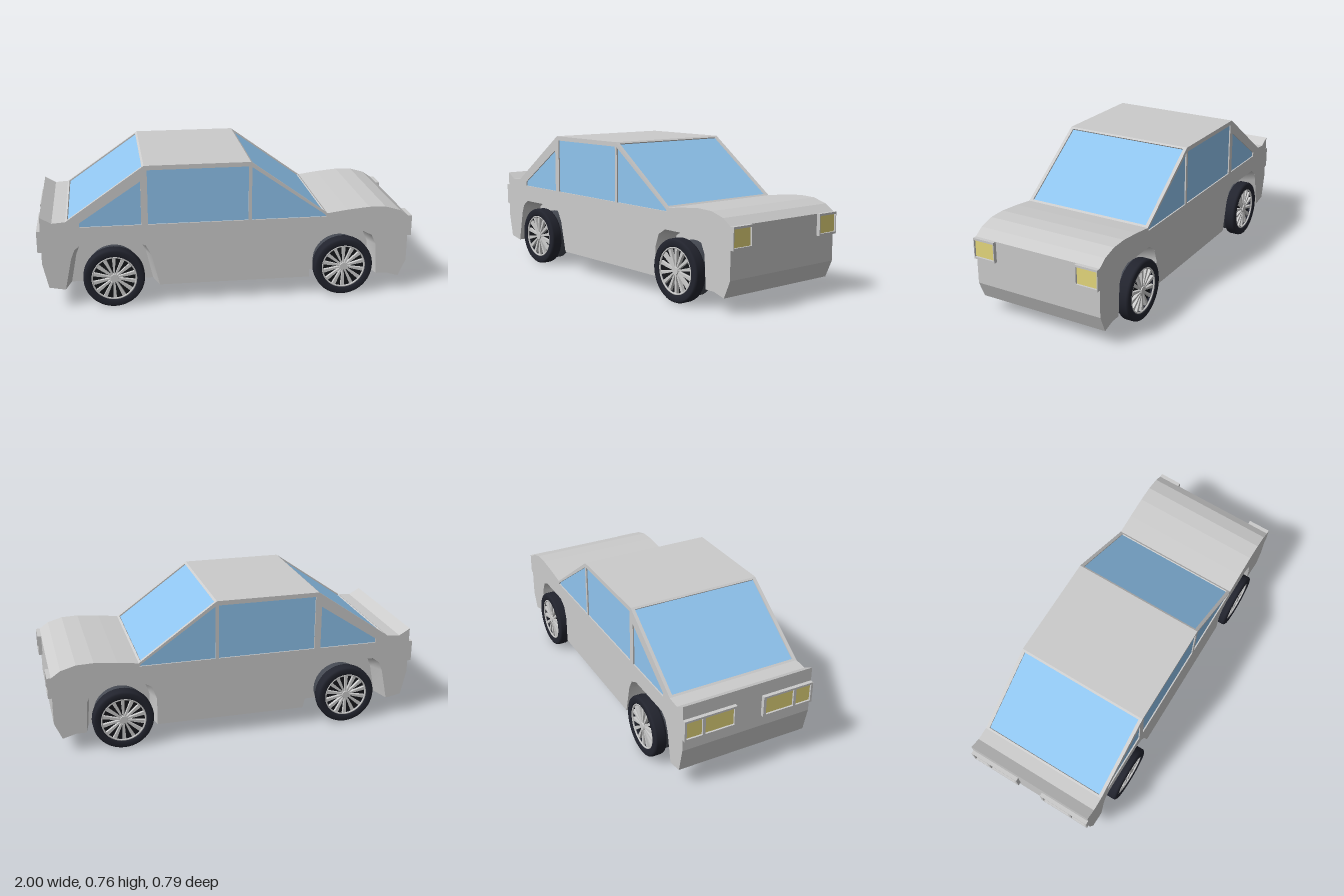
import * as THREE from 'three';

const mat = (color, side = THREE.FrontSide) => new THREE.MeshStandardMaterial({ color, side });
const grey = mat(0xcccccc);
const greyDouble = mat(0xcccccc, THREE.DoubleSide);
const glass = mat(0x8fc4ee);
const lamp = mat(0xe6d87c);
const rubber = mat(0x22242e);
const hubDark = mat(0x454952);
const gapDark = mat(0x15161a);

const HALF = 0.363; // half width of the body
const CORE = 0.26;  // inner wall of the wheel wells
const GLASS_HALF = 0.345;
const GLASS_Z = 0.353;

function add(parent, name, geometry, material) {
  const mesh = new THREE.Mesh(geometry, material);
  mesh.name = name;
  parent.add(mesh);
  return mesh;
}

const shapeOf = (pts) => new THREE.Shape(pts.map(([x, y]) => new THREE.Vector2(x, y)));

// Side outline extruded between two z values
function slab(pts, z0, z1, holes = []) {
  const shape = shapeOf(pts);
  for (const h of holes) shape.holes.push(shapeOf(h));
  return new THREE.ExtrudeGeometry(shape, { depth: z1 - z0, bevelEnabled: false }).translate(0, 0, z0);
}

// Part of a sloped line, moved along its normal
function along(a, b, t0, t1, offset) {
  const dx = b[0] - a[0], dy = b[1] - a[1], len = Math.hypot(dx, dy);
  return [t0, t1].map((t) => [a[0] + dx * t - (dy / len) * offset, a[1] + dy * t + (dx / len) * offset]);
}

// Key points of the cabin slopes
const rearLow = [-0.85, 0.475], rearTop = [-0.44, 0.76];
const frontTop = [0.115, 0.76], frontLow = [0.53, 0.46];
const slopes = [[rearLow, rearTop], [frontTop, frontLow]];

const rearArch = [[-0.865, 0.1], [-0.83, 0.27], [-0.81, 0.32], [-0.77, 0.35], [-0.49, 0.35], [-0.44, 0.325], [-0.41, 0.27], [-0.37, 0.1]];
const frontArch = [[0.44, 0.1], [0.44, 0.25], [0.465, 0.32], [0.515, 0.35], [0.73, 0.35], [0.78, 0.325], [0.805, 0.27], [0.815, 0.1]];

function bodyOutline(arches, notched) {
  const slope = ([a, b]) => {
    if (!notched) return [a, b];
    const [o0, o1] = along(a, b, 0.025, 0.975, 0);
    const [i0, i1] = along(a, b, 0.025, 0.975, -0.011);
    return [a, o0, i0, i1, o1, b];
  };
  return [
    [-0.98, 0.505], [-0.92, 0.47],
    ...slope(slopes[0]), ...slope(slopes[1]),
    [0.64, 0.475], [0.76, 0.486], [0.85, 0.483], [0.93, 0.46], [0.98, 0.425],
    [0.98, 0.17], [0.94, 0.08], [0.87, 0.1],
    ...(arches ? [...frontArch].reverse() : []),
    ...(arches ? [...rearArch].reverse() : []),
    [-0.87, 0.1], [-0.95, 0.115], [-0.98, 0.25],
  ];
}

const sideWindows = [
  [[-0.78, 0.442], [-0.46, 0.442], [-0.46, 0.678], [-0.78, 0.465]],
  [[-0.425, 0.442], [0.105, 0.442], [0.105, 0.736], [-0.425, 0.736]],
  [[0.122, 0.442], [0.526, 0.442], [0.52, 0.453], [0.122, 0.732]],
];

// Tapered lining from the outer arch edge to a tighter inner one
function archLiner(arch) {
  const cx = (arch[0][0] + arch.at(-1)[0]) / 2;
  const pos = [], idx = [];
  arch.forEach(([x, y], i) => {
    pos.push(x, y, HALF - 0.001, cx + (x - cx) * 0.88, 0.1 + (y - 0.1) * 0.93, CORE);
    if (i) idx.push(2 * i - 2, 2 * i - 1, 2 * i, 2 * i, 2 * i - 1, 2 * i + 1);
  });
  const g = new THREE.BufferGeometry();
  g.setAttribute('position', new THREE.Float32BufferAttribute(pos, 3));
  g.setIndex(idx);
  g.computeVertexNormals();
  return g;
}

// Wheel with its outer face towards +z, centred on its axle
function makeWheel() {
  const wheel = new THREE.Group();
  const profile = [[0.118, 0.33], [0.152, 0.33], [0.159, 0.335], [0.161, 0.343], [0.161, 0.384], [0.158, 0.392], [0.15, 0.397], [0.127, 0.397], [0.118, 0.39], [0.118, 0.33]];
  const lathe = (pts) => new THREE.LatheGeometry(pts.map(([r, z]) => new THREE.Vector2(r, z)), 48).rotateX(Math.PI / 2);
  add(wheel, 'tire', lathe(profile), rubber).material.side = THREE.DoubleSide;
  add(wheel, 'rimRing', new THREE.TorusGeometry(0.116, 0.005, 8, 48).translate(0, 0, 0.388), grey);
  add(wheel, 'innerDrum', new THREE.CylinderGeometry(0.14, 0.14, 0.09, 40).rotateX(Math.PI / 2).translate(0, 0, 0.305), hubDark);
  add(wheel, 'rimBack', new THREE.CylinderGeometry(0.118, 0.118, 0.025, 40).rotateX(Math.PI / 2).translate(0, 0, 0.358), gapDark);
  add(wheel, 'hubCap', new THREE.CylinderGeometry(0.02, 0.024, 0.018, 24).rotateX(Math.PI / 2).translate(0, 0, 0.383), grey);
  // Tapered spokes
  const spoke = slab([[-0.0035, 0.015], [0.0035, 0.015], [0.0095, 0.115], [-0.0095, 0.115]], 0.368, 0.387);
  const count = 14;
  for (let i = 0; i < count; i++) add(wheel, 'spoke', spoke, grey).rotation.z = (i / count) * Math.PI * 2;
  return wheel;
}

// Framed lamp facing +z; panes are [x0, x1] spans
function makeLamp(name, x0, x1, y0, y1, panes, paneColor) {
  const group = new THREE.Group();
  group.name = name;
  const rect = (a, b, c, d) => [[a, c], [b, c], [b, d], [a, d]];
  const spans = panes.map(([a, b]) => rect(a, b, y0 + 0.011, y1 - 0.011));
  add(group, 'lampFrame', slab(rect(x0, x1, y0, y1), 0.965, 1, spans), grey);
  for (const s of spans) add(group, 'lampPane', slab(s, 0.965, 0.99), paneColor);
  return group;
}

export function createModel() {
  const car = new THREE.Group();
  car.name = 'car';

  // Central body and sloped windows
  add(car, 'bodyCore', slab(bodyOutline(false, true), -CORE, CORE), grey);
  slopes.forEach(([a, b], i) => {
    const low = along(a, b, 0.025, 0.975, -0.013), high = along(a, b, 0.025, 0.975, -0.007);
    add(car, i ? 'windshield' : 'rearWindow',
      slab([...low, ...high.reverse()], -GLASS_HALF, GLASS_HALF), glass);
  });

  // Both sides: wheel wells, window frames, glass and wheels
  for (const s of [1, -1]) {
    const side = new THREE.Group();
    side.name = s > 0 ? 'frontFacingSide' : 'backFacingSide';
    add(side, 'wheelWellBody', slab(bodyOutline(true, true), CORE, GLASS_HALF), grey);
    add(side, 'windowPillars', slab(bodyOutline(true, false), GLASS_HALF, GLASS_Z), grey);
    add(side, 'sidePanel', slab(bodyOutline(true, false), GLASS_Z, HALF, sideWindows), grey);
    for (const w of sideWindows) add(side, 'sideWindow', slab(w, GLASS_Z - 0.002, GLASS_Z + 0.003), glass);
    for (const arch of [rearArch, frontArch]) add(side, 'archLiner', archLiner(arch), greyDouble);
    if (s < 0) side.scale.z = -1;
    car.add(side);

    for (const [name, x] of [['rearWheel', -0.61], ['frontWheel', 0.623]]) {
      const wheel = makeWheel();
      wheel.name = name;
      wheel.position.set(x, 0.161, 0);
      if (s < 0) wheel.rotation.y = Math.PI;
      car.add(wheel);
    }

    // Lamps, one pair per end
    const order = (a, b) => (s > 0 ? [a, b] : [-b, -a]);
    const head = makeLamp('headlight', ...order(0.238, HALF), 0.314, 0.426, [order(0.243, 0.359)], lamp);
    head.rotation.y = Math.PI / 2;
    const tail = makeLamp('tailLight', ...order(0.075, HALF), 0.314, 0.43, [order(0.09, 0.25), order(0.265, 0.352)], lamp);
    tail.rotation.y = -Math.PI / 2;
    car.add(head, tail);
  }
  return car;
}
